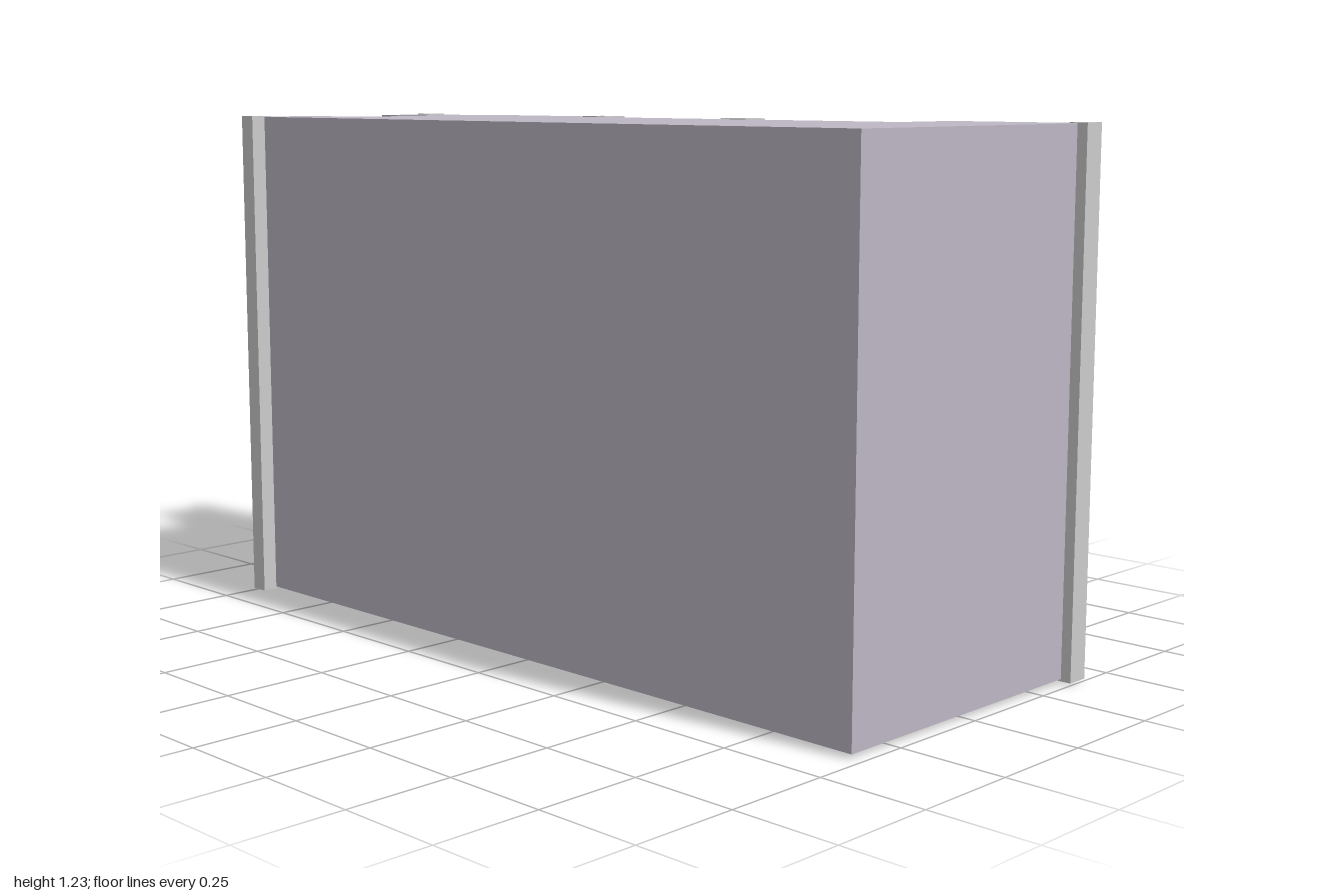
import * as THREE from 'three';

const wall = new THREE.MeshStandardMaterial({ color: 0xbdb7c4 });
const trim = new THREE.MeshStandardMaterial({ color: 0xcccccc });
const cyan = new THREE.MeshStandardMaterial({ color: 0x0eeaea });

export function createModel() {
  const group = new THREE.Group();

  const add = (name, geometry, material) => {
    const mesh = new THREE.Mesh(geometry, material);
    mesh.name = name;
    group.add(mesh);
    return mesh;
  };
  // Box given by its limits on each axis
  const box = (name, material, [x0, x1], [y0, y1], [z0, z1]) => {
    const g = new THREE.BoxGeometry(x1 - x0, y1 - y0, z1 - z0);
    g.translate((x0 + x1) / 2, (y0 + y1) / 2, (z0 + z1) / 2);
    return add(name, g, material);
  };

  // Main block: footprint as [x, z], with a rear notch and a front wing
  const inset = 0.012;
  const footprint = [
    [-0.375, 0.975], [0.39, 0.975], [0.39, 0.62], [0.2, 0.62],
    [0.2, -0.31], [0.255, -0.31], [0.255, -0.79], [0.2, -0.79], [0.2, -0.985],
    [0.025 + inset, -0.985], [0.025 + inset, -0.8],
    [-0.2 - inset, -0.8], [-0.2 - inset, -0.985], [-0.375, -0.985],
  ];
  const shape = new THREE.Shape(footprint.map(([x, z]) => new THREE.Vector2(x, -z)));
  const body = new THREE.ExtrudeGeometry(shape, { depth: 1.22, bevelEnabled: false });
  body.rotateX(-Math.PI / 2).translate(0, 0.01, 0);
  add('mainBlock', body, wall);

  // Frames around the recessed panels on both sides of the notch
  const frame = new THREE.Shape();
  frame.moveTo(0.8, 0.01).lineTo(0.985, 0.01).lineTo(0.985, 1.23).lineTo(0.8, 1.23).closePath();
  const opening = new THREE.Path();
  opening.moveTo(0.822, 0.045).lineTo(0.822, 1.195).lineTo(0.963, 1.195).lineTo(0.963, 0.045).closePath();
  frame.holes.push(opening);
  for (const [name, x] of [['notchFrameRight', -0.2 - inset], ['notchFrameLeft', 0.025]]) {
    const g = new THREE.ExtrudeGeometry(frame, { depth: inset, bevelEnabled: false });
    g.rotateY(Math.PI / 2).translate(x, 0, 0);
    add(name, g, wall);
  }

  // Projecting bay in front of the long side wall
  box('entranceBay', wall, [0.19, 0.255], [0, 1.222], [-0.31, 0.55]);

  // Pilasters, sign board and door
  for (const z of [0.13, -0.345]) {
    box('pilaster', trim, [0.195, 0.265], [0.004, 1.232], [z - 0.04, z + 0.04]);
  }
  box('signBoard', trim, [0.25, 0.272], [0.9, 1.16], [-0.71, 0.49]);
  box('door', cyan, [0.25, 0.275], [0.01, 0.35], [-0.18, -0.04]);

  // Corner posts
  box('frontPost', trim, [0.355, 0.41], [0.005, 1.232], [0.955, 1]);
  box('rearPostRight', trim, [-0.412, -0.355], [0.005, 1.232], [-1, -0.955]);
  box('rearPostLeft', trim, [0.16, 0.215], [0.005, 1.232], [-1, -0.955]);
  box('rearPostFillet', wall, [0.19, 0.207], [0.01, 1.23], [-0.96, -0.94]);

  return group;
}
